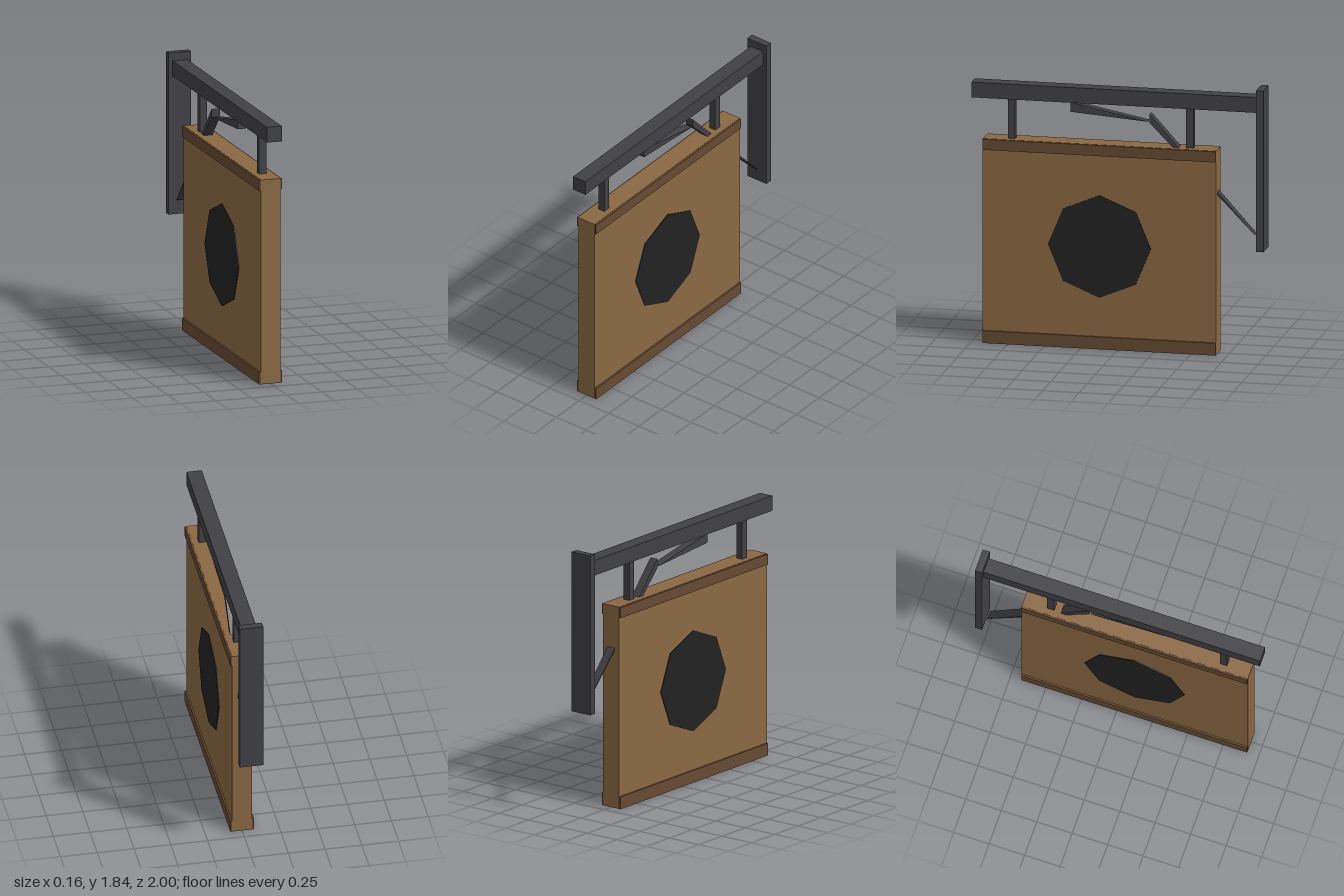
import * as THREE from 'three';

export function createModel() {
  const model = new THREE.Group();
  model.name = 'hangingSign';

  const mat = (name, color) => {
    const m = new THREE.MeshStandardMaterial({ color });
    m.name = name;
    return m;
  };
  const wood = mat('wood', 0x8b6843);
  const darkWood = mat('darkWood', 0x664a32);
  const iron = mat('iron', 0x414045);
  const black = mat('black', 0x222222);

  const add = (name, geometry, material) => {
    const mesh = new THREE.Mesh(geometry, material);
    mesh.name = name;
    model.add(mesh);
    return mesh;
  };

  // Box centred on x = 0, given by its width and its y and z ranges
  const box = (name, material, width, y0, y1, z0, z1) => {
    const mesh = add(name, new THREE.BoxGeometry(width, y1 - y0, z1 - z0), material);
    mesh.position.set(0, (y0 + y1) / 2, (z0 + z1) / 2);
  };

  // Board, with trim rails whose ends sit just inside the board's ends
  box('board', wood, 0.136, 0.003, 1.405, -0.675, 0.92);
  box('bottomTrim', darkWood, 0.16, 0, 0.085, -0.673, 0.918);
  box('topTrim', darkWood, 0.16, 1.33, 1.403, -0.673, 0.918);

  // Octagonal emblem showing on both faces
  const emblem = add('emblem', new THREE.CylinderGeometry(0.352, 0.352, 0.146, 8).toNonIndexed(), black);
  emblem.geometry.computeVertexNormals();
  emblem.rotation.z = Math.PI / 2;
  emblem.position.set(0, 0.705, 0.122);

  // Bracket: wall plate, arm and two hangers
  box('wallPlate', iron, 0.16, 0.73, 1.84, -1, -0.95);
  box('arm', iron, 0.104, 1.68, 1.785, -0.95, 1);
  box('frontHanger', iron, 0.05, 1.4, 1.685, 0.708, 0.758);
  box('backHanger', iron, 0.05, 1.4, 1.685, -0.51, -0.46);

  // Tapered braces, extruded across x from a (z, y) profile
  const brace = (name, points) => {
    const shape = new THREE.Shape(points.map(([z, y]) => new THREE.Vector2(-z, y)));
    const geometry = new THREE.ExtrudeGeometry(shape, { depth: 0.06, bevelEnabled: false });
    geometry.translate(0, 0, -0.03);
    geometry.rotateY(Math.PI / 2);
    add(name, geometry, iron);
  };
  brace('upperBrace', [[0.327, 1.677], [0.327, 1.612], [-0.2, 1.572]]);
  brace('lowerBrace', [[-0.212, 1.625], [-0.212, 1.565], [-0.932, 0.83]]);

  return model;
}
